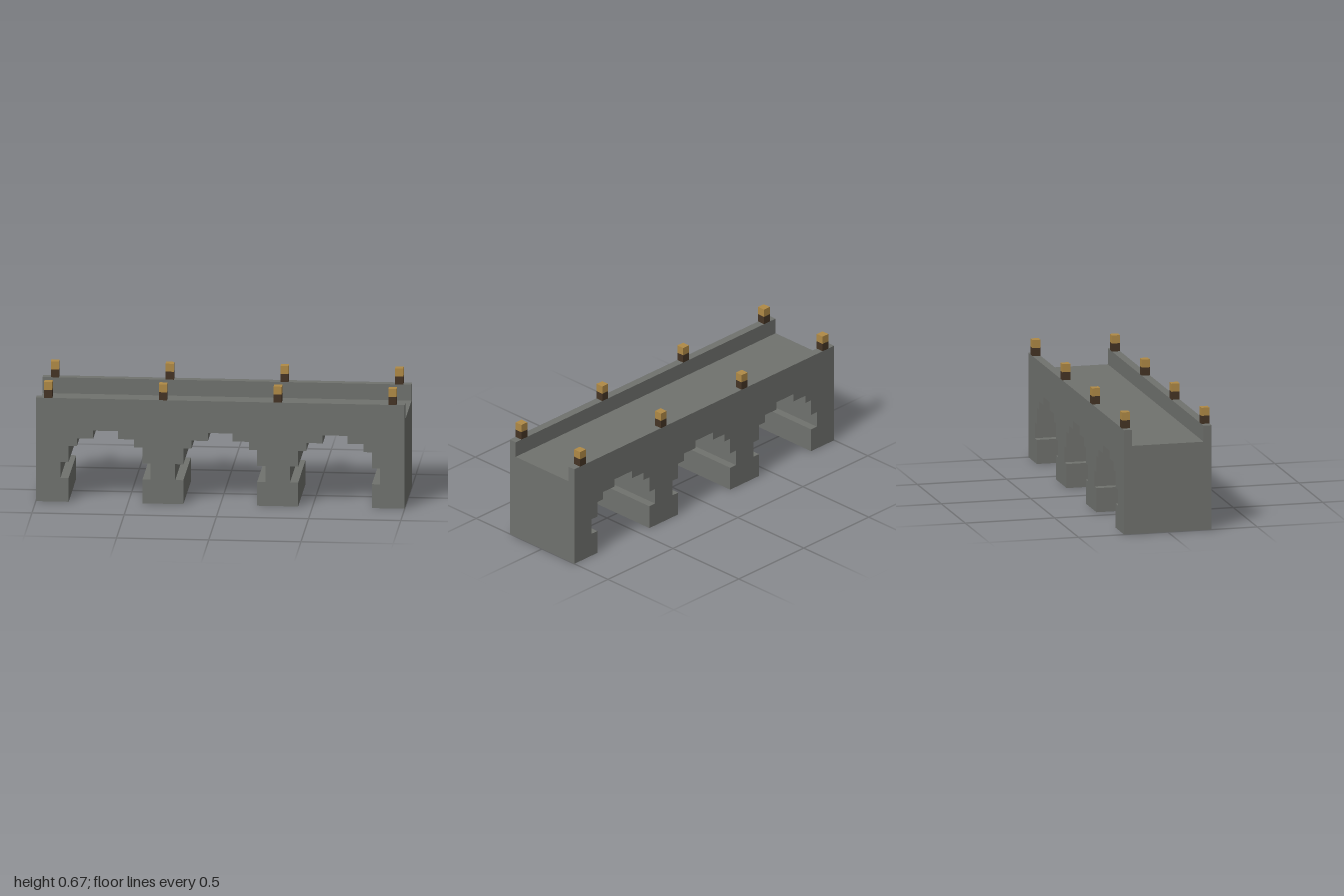
import * as THREE from 'three';

const U = 2 / 45; // one block

export function createModel() {
  const stone = new THREE.MeshStandardMaterial({ name: 'stone grey', color: 0x70726e });
  const wood = new THREE.MeshStandardMaterial({ name: 'dark wood', color: 0x453425 });
  const glow = new THREE.MeshStandardMaterial({ name: 'lamp gold', color: 0xb08a46 });

  const bridge = new THREE.Group();
  bridge.name = 'bridge';

  // Box given in blocks, standing on y
  const addBox = (name, material, [w, h, d], [x, y, z], parent = bridge) => {
    const mesh = new THREE.Mesh(new THREE.BoxGeometry(w * U, h * U, d * U), material);
    mesh.name = name;
    mesh.position.set(x * U, (y + h / 2) * U, z * U);
    parent.add(mesh);
  };

  // Stepped arch: [half width, bottom, top] of each course, in blocks
  const courses = [[4.5, 0, 3], [5.5, 3, 5], [4.5, 5, 7], [3.5, 7, 8], [1.5, 8, 9]];
  const leftSide = courses.flatMap(([w, y0, y1]) => [[-w, y0], [-w, y1]]);
  const rightSide = leftSide.map(([x, y]) => [-x, y]).reverse();
  const arch = [...leftSide, ...rightSide];

  // Deck and piers: one outline with three arches cut up from the ground
  const outline = [[-22.5, 0]];
  for (const cx of [-14, 0, 14]) outline.push(...arch.map(([x, y]) => [x + cx, y]));
  outline.push([22.5, 0], [22.5, 11], [-22.5, 11]);
  const shape = new THREE.Shape(outline.map(([x, y]) => new THREE.Vector2(x * U, y * U)));
  const body = new THREE.ExtrudeGeometry(shape, { depth: 11 * U, bevelEnabled: false });
  body.translate(0, 0, -5.5 * U);
  const span = new THREE.Mesh(body, stone);
  span.name = 'archedSpan';
  bridge.add(span);

  // Parapets with lamp posts along both edges
  for (const z of [-5, 5]) {
    addBox('parapet', stone, [45, 2, 1], [0, 11, z]);
    for (const x of [-21, -7, 7, 21]) {
      const lamp = new THREE.Group();
      lamp.name = 'lampPost';
      addBox('post', wood, [1, 1, 1], [x, 13, z], lamp);
      addBox('lamp', glow, [1, 1, 1], [x, 14, z], lamp);
      bridge.add(lamp);
    }
  }
  return bridge;
}
